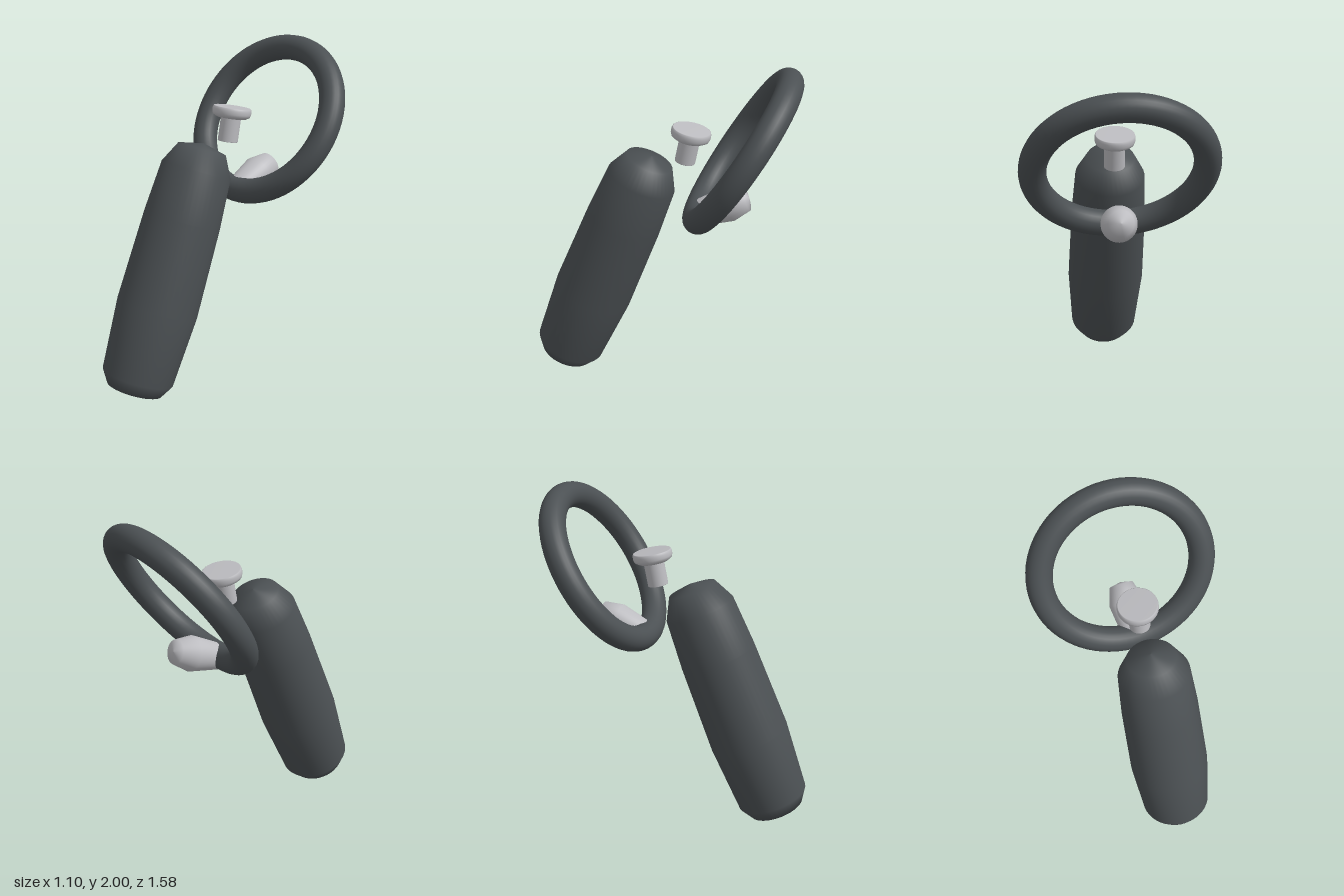
import * as THREE from 'three';

export function createModel() {
  const group = new THREE.Group();
  const material = (name, color) => {
    const m = new THREE.MeshStandardMaterial({ color });
    m.name = name;
    return m;
  };
  const charcoal = material('charcoal', 0x4b5053);
  const lightGrey = material('light grey', 0xbcbcc0);

  const add = (name, geometry, mat, y, z, tilt) => {
    const mesh = new THREE.Mesh(geometry, mat);
    mesh.name = name;
    mesh.position.set(0, y, z);
    mesh.rotation.x = tilt;
    group.add(mesh);
  };
  // Profile of [radius, height] pairs from bottom to top
  const lathe = (profile) =>
    new THREE.LatheGeometry(profile.map(([r, h]) => new THREE.Vector2(r, h)), 40);

  // Grip leaning back, with chamfered, slightly domed ends
  add('handle', lathe([
    [0, -0.024], [0.167, 0], [0.215, 0.0785], [0.242, 0.504],
    [0.228, 1.044], [0.208, 1.345], [0.143, 1.473], [0, 1.506],
  ]), charcoal, 0.0675, 0.62, -0.384);

  // Large tilted ring behind the grip
  add('ring', new THREE.TorusGeometry(0.473, 0.076, 24, 72), charcoal, 1.525, -0.4625, -0.563);

  // Mushroom-shaped thumbstick; paired points keep the edges crisp
  add('thumbstick', lathe([
    [0, 0], [0.058, 0], [0.06, 0.002], [0.06, 0.138], [0.062, 0.14],
    [0.09, 0.142], [0.11, 0.154], [0.116, 0.17], [0.116, 0.19],
    [0.112, 0.203], [0.108, 0.205], [0, 0.205],
  ]), lightGrey, 1.44, -0.138, -0.187);

  // Tapered trigger behind the lower part of the ring
  add('trigger', lathe([
    [0, -0.217], [0.074, -0.213], [0.078, -0.209], [0.104, 0], [0.072, 0.108], [0, 0.123],
  ]), lightGrey, 1.19, -0.405, -1.19);

  return group;
}
